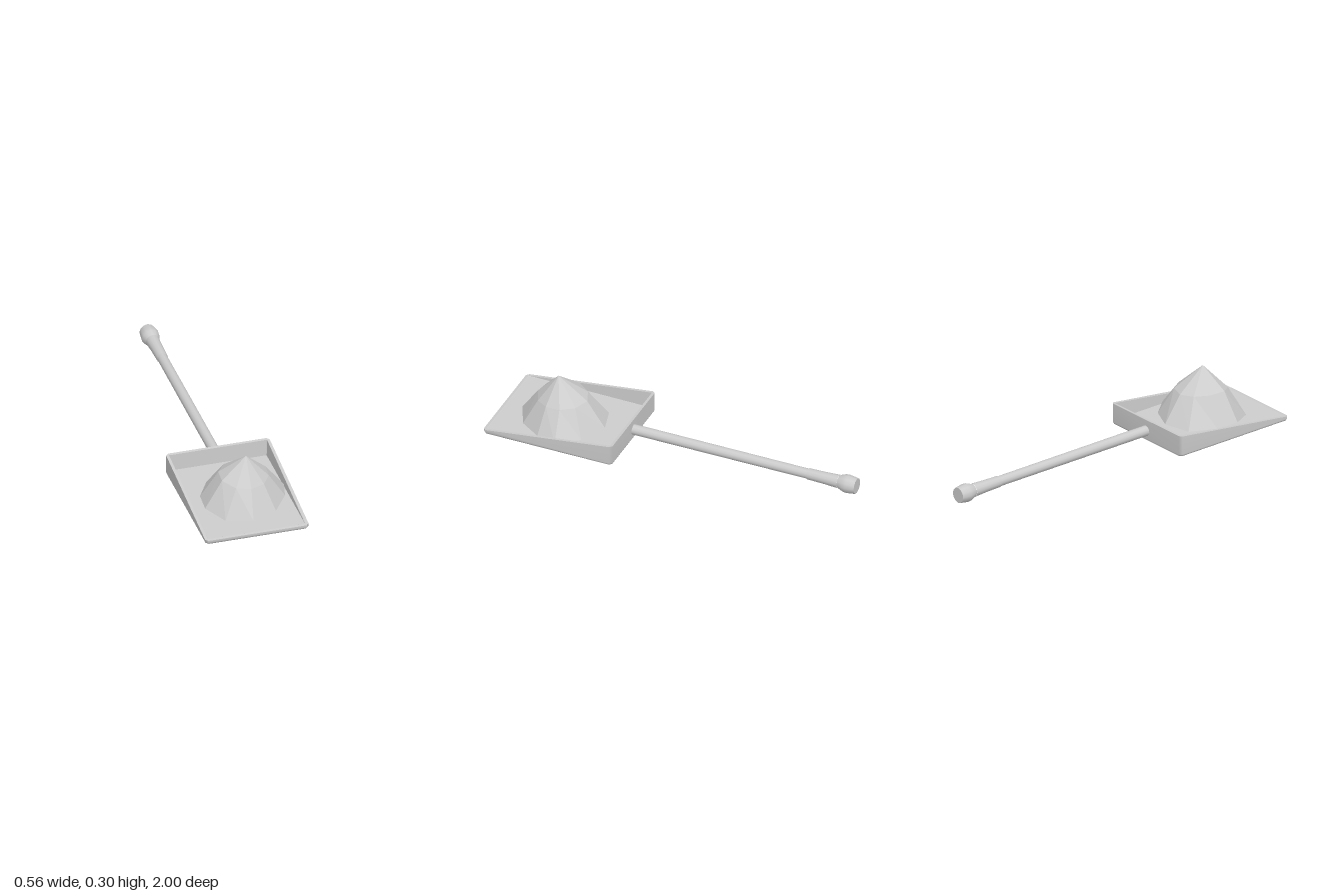
import * as THREE from 'three';

const grey = new THREE.MeshStandardMaterial({ color: 0xcccccc });
grey.name = 'light grey';

// Skin a list of equally long rings (counter-clockwise from above)
function loft(rings, flat) {
  const n = rings[0].length;
  const index = [];
  for (let r = 0; r < rings.length - 1; r++) {
    for (let i = 0; i < n; i++) {
      const j = (i + 1) % n;
      const a = r * n + i, b = r * n + j;
      const c = a + n, d = b + n;
      index.push(a, c, d, a, d, b);
    }
  }
  let g = new THREE.BufferGeometry();
  g.setAttribute('position', new THREE.Float32BufferAttribute(rings.flat(2), 3));
  g.setIndex(index);
  if (flat) g = g.toNonIndexed();
  g.computeVertexNormals();
  return g;
}

function addMesh(group, name, geometry) {
  const mesh = new THREE.Mesh(geometry, grey);
  mesh.name = name;
  group.add(mesh);
}

// Rectangle of the pan, inset from its outline, with cut corners
const BACK = 0.268, FRONT = 1.0, HALF = 0.28;
function panRing(inset, cut, height) {
  const x = HALF - inset, b = BACK + inset, f = FRONT - inset;
  const outline = [
    [x, b + cut], [x - cut, b], [-x + cut, b], [-x, b + cut],
    [-x, f - cut], [-x + cut, f], [x - cut, f], [x, f - cut],
  ];
  return outline.map(([px, pz]) => [px, height(pz), pz]);
}
const level = (y) => () => y;
// Rim slopes from the tall back wall down to the front lip
const rim = (z) => THREE.MathUtils.mapLinear(z, BACK, FRONT, 0.119, 0.025);
const centre = (y) => Array.from({ length: 8 }, () => [0, y, (BACK + FRONT) / 2]);

export function createModel() {
  const model = new THREE.Group();
  model.name = 'shovel';

  // Pan: smooth outer shell and crisp inner tray
  const pan = new THREE.Group();
  pan.name = 'pan';
  addMesh(pan, 'panShell', loft([
    panRing(0, 0.014, rim),
    panRing(0, 0.014, level(0.014)),
    panRing(0.004, 0.014, level(0.004)),
    panRing(0.014, 0.012, level(0)),
    panRing(0.06, 0.01, level(0)),
    centre(0),
  ], false));
  addMesh(pan, 'panTray', loft([
    centre(0.025),
    panRing(0.018, 0.002, level(0.025)),
    panRing(0.015, 0.002, rim),
    panRing(0, 0.014, rim),
  ], true));
  model.add(pan);

  // Handle shaft, flared grip and knob, turned about one axis
  const turned = (points) => {
    const profile = points.map(([z, r]) => new THREE.Vector2(r, -z));
    return new THREE.LatheGeometry(profile, 12).rotateX(-Math.PI / 2).translate(0, 0.058, 0);
  };
  addMesh(model, 'handleShaft', turned([[0.275, 0.028], [-0.73, 0.027]]));
  addMesh(model, 'handleGrip', turned([[-0.725, 0.026], [-0.726, 0.03], [-0.82, 0.032], [-0.9, 0.036]]));
  addMesh(model, 'handleKnob', turned([
    [-0.9, 0.035], [-0.93, 0.047], [-0.95, 0.049], [-0.975, 0.046], [-1, 0.042],
  ]));
  addMesh(model, 'handleEnd', turned([[-1, 0.042], [-1, 0]]));

  // Faceted heap lying in the pan
  const base = [
    [0.026, 0.04, 0.42], [-0.116, 0.035, 0.46], [-0.19, 0.04, 0.593], [-0.2, 0.043, 0.72],
    [-0.125, 0.026, 0.84], [0.01, 0.032, 0.895], [0.15, 0.033, 0.83], [0.235, 0.04, 0.71],
    [0.262, 0.038, 0.6], [0.17, 0.035, 0.49],
  ];
  const shoulder = [
    [0.026, 0.18, 0.52], [-0.05, 0.185, 0.55], [-0.1, 0.19, 0.62], [-0.106, 0.19, 0.71],
    [-0.05, 0.175, 0.78], [0.027, 0.17, 0.8], [0.105, 0.165, 0.765], [0.15, 0.172, 0.7],
    [0.156, 0.178, 0.62], [0.11, 0.18, 0.55],
  ];
  const apex = base.map(() => [0.033, 0.3, 0.68]);
  addMesh(model, 'heap', loft([apex, shoulder, base], true));

  return model;
}
